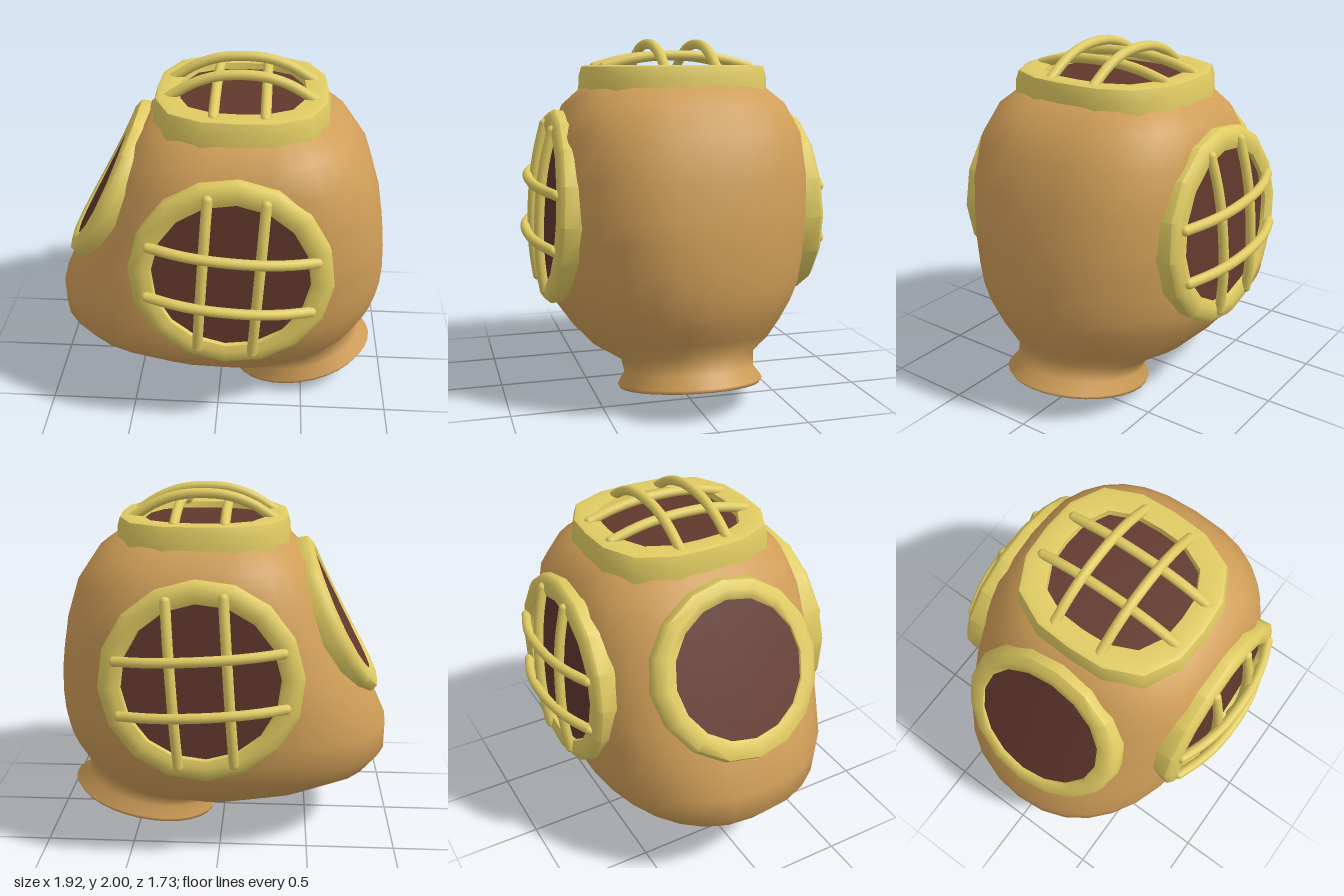
import * as THREE from 'three';
import { mergeGeometries, toCreasedNormals } from 'three/addons/utils/BufferGeometryUtils.js';

const shell = new THREE.MeshStandardMaterial({ color: 0xd09e58 });
const brass = new THREE.MeshStandardMaterial({ color: 0xe0cb62 });
const glassMat = new THREE.MeshStandardMaterial({ color: 0x62382d, side: THREE.DoubleSide });

function add(parent, name, geometry, material) {
  const mesh = new THREE.Mesh(geometry, material);
  mesh.name = name;
  parent.add(mesh);
  return mesh;
}

// Moves every vertex by a rule
function warp(geometry, rule) {
  const p = geometry.attributes.position;
  const v = new THREE.Vector3();
  for (let i = 0; i < p.count; i++) {
    rule(v.fromBufferAttribute(p, i));
    p.setXYZ(i, v.x, v.y, v.z);
  }
  geometry.computeVertexNormals();
  return geometry;
}

// Helmet shell: tilted rings, each [xLeft, yLeft, xRight, yRight, halfDepth, roundness]
function shellGeometry() {
  const rings = [
    [0.454, 0.24, 0.454, 0.24, 0, 2], // pit under the neck
    [0.37, 0.21, 0.54, 0.245, 0.08, 2],
    [0.35, 0.125, 0.60, 0.18, 0.12, 2],
    [0.255, 0.07, 0.715, 0.17, 0.22, 2],
    [0.14, 0.025, 0.84, 0.175, 0.33, 2],
    [0.07, 0.005, 0.91, 0.185, 0.39, 2], // neck flange
    [0.06, 0.03, 0.925, 0.21, 0.40, 2],
    [0.09, 0.10, 0.85, 0.26, 0.36, 2],
    [0.05, 0.14, 0.83, 0.35, 0.37, 2], // neck waist
    [-0.27, 0.17, 0.87, 0.43, 0.50, 2],
    [-0.60, 0.25, 0.91, 0.51, 0.59, 2.1],
    [-0.87, 0.37, 0.94, 0.60, 0.67, 2.2],
    [-0.965, 0.49, 0.955, 0.70, 0.72, 2.25],
    [-0.965, 0.65, 0.96, 0.82, 0.735, 2.3],
    [-0.88, 0.84, 0.95, 0.97, 0.74, 2.4],
    [-0.81, 0.98, 0.935, 1.08, 0.74, 2.45],
    [-0.69, 1.22, 0.90, 1.28, 0.73, 2.5],
    [-0.58, 1.45, 0.83, 1.50, 0.70, 2.5],
    [-0.49, 1.62, 0.72, 1.66, 0.62, 2.5],
    [-0.36, 1.75, 0.58, 1.76, 0.49, 2.5],
    [-0.20, 1.80, 0.42, 1.80, 0.33, 2.5],
    [0.11, 1.80, 0.11, 1.80, 0, 2],
  ];
  const sides = 32, pos = [], index = [];
  rings.forEach(([xl, yl, xr, yr, depth, n], i) => {
    for (let j = 0; j < sides; j++) {
      const a = (j / sides) * Math.PI * 2;
      const c = Math.sign(Math.cos(a)) * Math.abs(Math.cos(a)) ** (2 / n);
      const s = Math.sign(Math.sin(a)) * Math.abs(Math.sin(a)) ** (2 / n);
      const t = (c + 1) / 2, y = yl + (yr - yl) * t;
      // Flattened behind the side portholes
      const flat = 0.685 - 0.055 * (y - 1.075);
      pos.push(xl + (xr - xl) * t, y, THREE.MathUtils.clamp(depth * s, -flat, flat));
      if (i === rings.length - 1) continue;
      const k = (j + 1) % sides, lo = i * sides, hi = lo + sides;
      index.push(lo + j, hi + j, lo + k, lo + k, hi + j, hi + k);
    }
  });
  const g = new THREE.BufferGeometry();
  g.setAttribute('position', new THREE.Float32BufferAttribute(pos, 3));
  g.setIndex(index);
  g.computeVertexNormals();
  return g;
}

// Window facing local +z: turned frame and glass, reshaped by the same rule
function makeWindow(name, profile, glassRadius, glassZ, rule) {
  const group = new THREE.Group();
  group.name = name;
  group.rotation.order = 'YXZ';
  const pts = profile.map(([r, z]) => new THREE.Vector2(r, z));
  const frame = warp(new THREE.LatheGeometry(pts, 16).rotateX(Math.PI / 2), rule);
  add(group, 'frame', toCreasedNormals(frame, 0.95), brass);
  const pane = new THREE.RingGeometry(0, glassRadius, 32, 4).translate(0, 0, glassZ);
  add(group, 'glass', warp(pane, rule), glassMat);
  return group;
}

// Pair of arched guard bars along local x, or along y when upright
function addBars(group, name, half, offset, end, peak, upright) {
  for (const side of [-1, 1]) {
    const path = [[-1, 0], [-0.65, 0.65], [-0.28, 1], [0.28, 1], [0.65, 0.65], [1, 0]].map(([u, h]) => {
      const z = end + (peak - end) * h;
      return upright ? new THREE.Vector3(side * offset, u * half, z)
        : new THREE.Vector3(u * half, side * offset, z);
    });
    const parts = [new THREE.TubeGeometry(new THREE.CatmullRomCurve3(path), 20, 0.028, 10)];
    for (const p of [path[0], path[5]]) {
      parts.push(new THREE.SphereGeometry(0.028, 10, 8).translate(p.x, p.y, p.z));
    }
    add(group, name, mergeGeometries(parts), brass);
  }
}

export function createModel() {
  const model = new THREE.Group();
  model.name = 'divingHelmet';
  add(model, 'shell', shellGeometry(), shell);

  // Round barred portholes on both sides
  const portProfile = [[0.54, -0.12], [0.55, -0.025], [0.52, 0.002], [0.47, 0.01], [0.43, -0.003], [0.42, -0.04]];
  for (const s of [1, -1]) {
    const port = makeWindow(s > 0 ? 'frontPorthole' : 'backPorthole', portProfile, 0.43, -0.025, () => {});
    addBars(port, 'crossBar', 0.44, 0.15, 0.01, 0.092, false);
    addBars(port, 'uprightBar', 0.45, 0.15, 0.005, 0.05, true);
    port.position.set(0.085, 1.07, s * 0.735);
    port.rotation.set(-0.055, s > 0 ? 0 : Math.PI, -s * 0.065);
    model.add(port);
  }

  // Squarish collar window on top
  const squarish = (v) => {
    const r = Math.hypot(v.x, v.y);
    if (r < 1e-6) return;
    const c = Math.abs(v.x / r), d = Math.abs(v.y / r);
    const k = (c ** 2.9 + d ** 2.9) ** (-1 / 2.9);
    v.x *= k * 0.97;
    v.y *= k * 1.03;
  };
  const collarProfile = [[0.505, -0.165], [0.5, -0.06], [0.485, -0.008], [0.46, 0], [0.36, -0.01], [0.35, -0.07]];
  const top = makeWindow('topWindow', collarProfile, 0.37, -0.045, squarish);
  addBars(top, 'crossBar', 0.40, 0.143, -0.02, 0.11, false);
  addBars(top, 'uprightBar', 0.42, 0.135, -0.01, 0.05, true);
  top.position.set(0.11, 1.86, 0);
  top.rotation.x = -Math.PI / 2;
  model.add(top);

  // Open face window on the slanted side, curving slightly around the shell
  const faceProfile = [[0.48, -0.15], [0.5, -0.06], [0.485, -0.015], [0.43, 0], [0.385, -0.01], [0.365, -0.05]];
  const face = makeWindow('faceWindow', faceProfile, 0.38, -0.02, (v) => { v.z -= 0.14 * v.x * v.x; });
  face.position.set(-0.705, 1.293, 0);
  face.rotation.set(-0.475, -Math.PI / 2, 0);
  model.add(face);

  return model;
}
